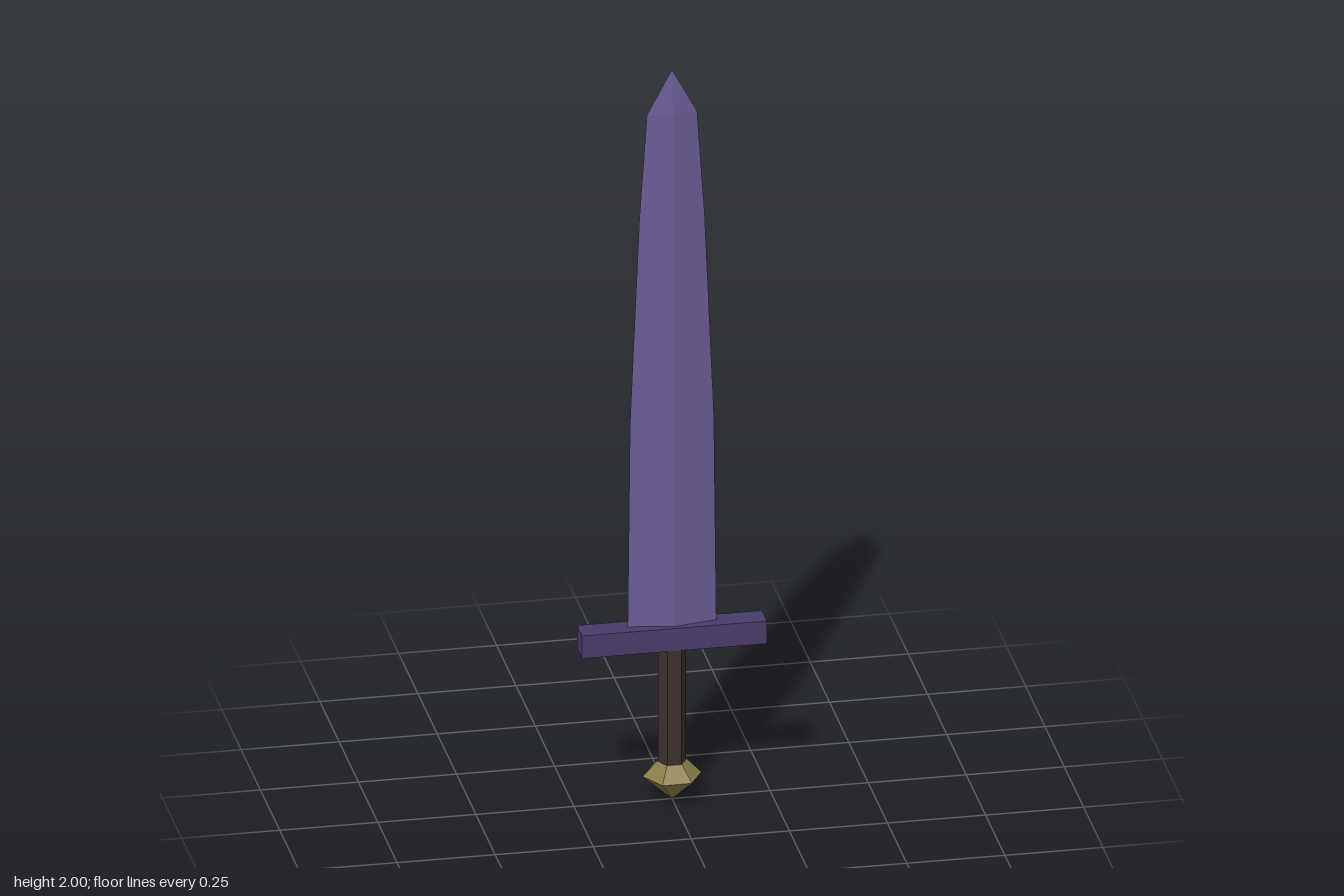
import * as THREE from 'three';

const mat = (name, color) => {
  const m = new THREE.MeshStandardMaterial({ color, flatShading: true });
  m.name = name;
  return m;
};

// Diamond-section blade: each ring is [y, half width, half thickness]
function bladeGeometry(rings) {
  const pos = [];
  const corner = ([y, w, t], i) =>
    [[w, y, 0], [0, y, t], [-w, y, 0], [0, y, -t]][i % 4];
  for (let r = 0; r < rings.length - 1; r++) {
    const lo = rings[r], hi = rings[r + 1];
    for (let i = 0; i < 4; i++) {
      const a = corner(lo, i), b = corner(lo, i + 1);
      const c = corner(hi, i + 1), d = corner(hi, i);
      pos.push(...a, ...c, ...b);
      if (hi[1] > 0) pos.push(...a, ...d, ...c);
    }
  }
  // Wind every face outwards from the blade axis
  const tri = [new THREE.Vector3(), new THREE.Vector3(), new THREE.Vector3()];
  for (let k = 0; k < pos.length; k += 9) {
    tri.forEach((v, j) => v.fromArray(pos, k + j * 3));
    const n = new THREE.Triangle(...tri).getNormal(new THREE.Vector3());
    const mid = new THREE.Vector3().add(tri[0]).add(tri[1]).add(tri[2]);
    if (n.x * mid.x + n.z * mid.z < 0) {
      tri[2].toArray(pos, k + 3);
      tri[1].toArray(pos, k + 6);
    }
  }
  const g = new THREE.BufferGeometry();
  g.setAttribute('position', new THREE.Float32BufferAttribute(pos, 3));
  g.computeVertexNormals();
  return g;
}

// Six-sided solid between two heights, with corners on the x axis
function hexGeometry(rTop, rBottom, y0, y1, open = false) {
  return new THREE.CylinderGeometry(rTop, rBottom, y1 - y0, 6, 1, open, Math.PI / 2)
    .translate(0, (y0 + y1) / 2, 0);
}

export function createModel() {
  const sword = new THREE.Group();
  sword.name = 'sword';
  const bladePurple = mat('blade purple', 0x6b5b95);
  const guardPurple = mat('guard purple', 0x4a3b6b);
  const gripBrown = mat('grip brown', 0x3d3029);
  const pommelGold = mat('pommel gold', 0x8b7d4b);

  const add = (name, geometry, material, parent = sword) => {
    const mesh = new THREE.Mesh(geometry, material);
    mesh.name = name;
    parent.add(mesh);
  };

  // Blade tapering to a short point
  add('blade', bladeGeometry([
    [0.48, 0.113, 0.021],
    [1.04, 0.107, 0.02],
    [1.6, 0.083, 0.016],
    [1.88, 0.064, 0.013],
    [2.0, 0, 0],
  ]), bladePurple);

  // Crossguard
  add('crossguard', new THREE.BoxGeometry(0.472, 0.062, 0.066).translate(0, 0.45, 0), guardPurple);

  // Hexagonal grip
  add('grip', hexGeometry(0.036, 0.036, 0.1, 0.42), gripBrown);

  // Faceted pommel: bevelled shoulder over a downward point
  const pommel = new THREE.Group();
  pommel.name = 'pommel';
  add('pommelShoulder', hexGeometry(0.038, 0.075, 0.067, 0.106), pommelGold, pommel);
  add('pommelPoint', hexGeometry(0.075, 0, 0, 0.067, true), pommelGold, pommel);
  sword.add(pommel);

  return sword;
}
